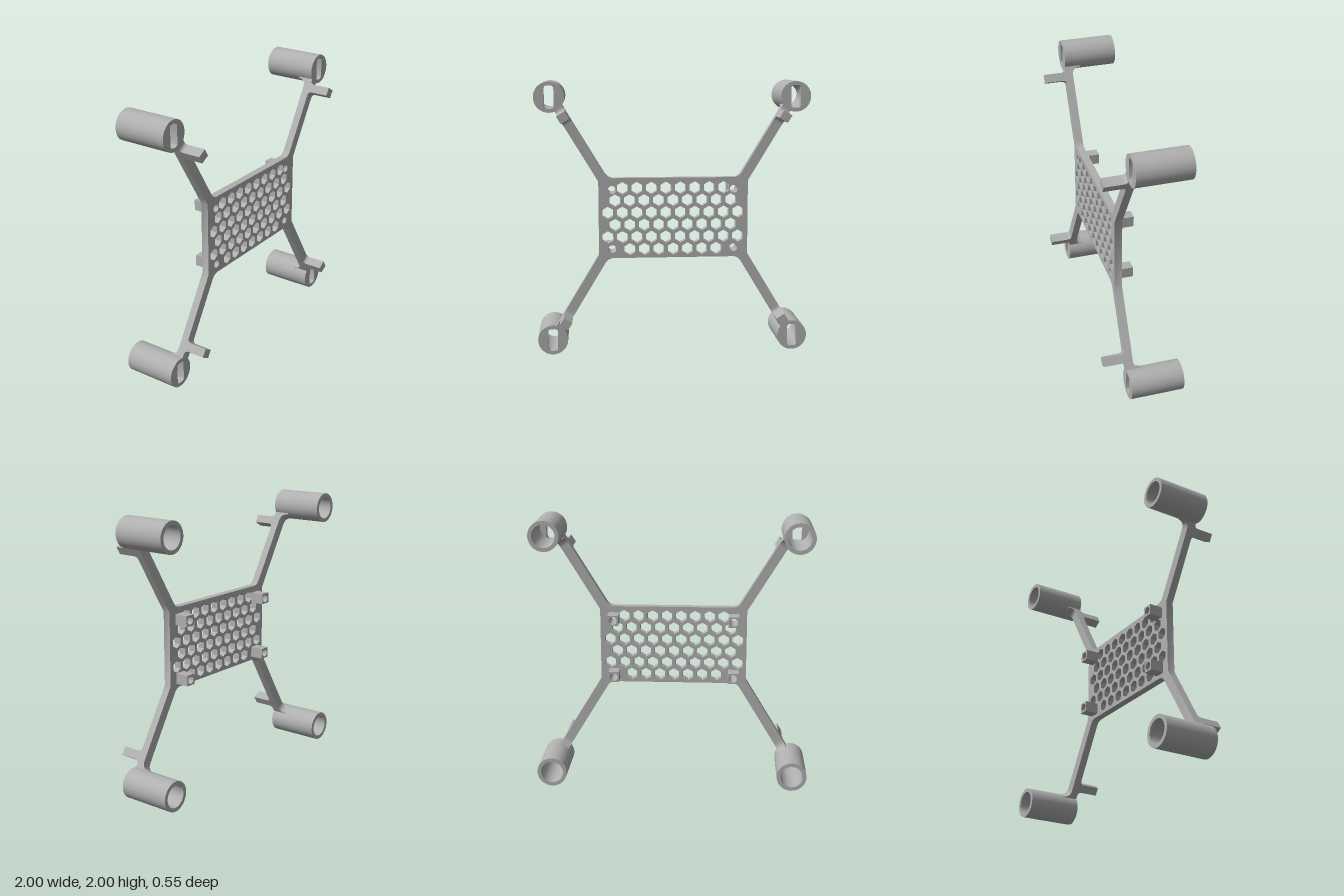
import * as THREE from 'three';
import { toCreasedNormals } from 'three/addons/utils/BufferGeometryUtils.js';

const BACK = 0.062, FRONT = 0.117;   // z range of the flat frame
const MID = 1.013;                   // height of the plate's centre
const ANGLE = Math.atan2(0.856, 0.517);
const ARM_W = 0.07;

const poly = (Type, pts) => new Type(pts.map(([x, y]) => new THREE.Vector2(x, y)));

function circle(Type, x, y, r) {
  const p = new Type();
  p.absarc(x, y, r, 0, Math.PI * 2, false);
  return p;
}

// Extrudes a shape between two z values, smooth on curves and sharp on edges
function slab(shape, z0, z1, curveSegments = 24) {
  const g = new THREE.ExtrudeGeometry(shape, { depth: z1 - z0, bevelEnabled: false, curveSegments });
  g.translate(0, 0, z0);
  return toCreasedNormals(g, 0.6);
}

// Centre plate outline with arm stubs at its corners, and honeycomb holes
function plateShape() {
  const s = new THREE.Shape();
  const w = 0.545, h = 0.294;
  const at = (x, y) => [x, MID + y];
  // one side from the right edge to the middle of the top, mirrored below
  s.moveTo(...at(w, -0.27));
  s.lineTo(...at(w, 0.27));
  s.lineTo(...at(0.582, 0.332));
  s.lineTo(...at(0.522, 0.368));
  s.lineTo(...at(0.504, 0.338));
  s.quadraticCurveTo(...at(0.48, h), ...at(0.437, h));
  s.lineTo(...at(-0.437, h));
  s.quadraticCurveTo(...at(-0.48, h), ...at(-0.504, 0.338));
  s.lineTo(...at(-0.522, 0.368));
  s.lineTo(...at(-0.582, 0.332));
  s.lineTo(...at(-w, 0.27));
  s.lineTo(...at(-w, -0.27));
  s.lineTo(...at(-0.582, -0.332));
  s.lineTo(...at(-0.522, -0.368));
  s.lineTo(...at(-0.504, -0.338));
  s.quadraticCurveTo(...at(-0.48, -h), ...at(-0.437, -h));
  s.lineTo(...at(0.437, -h));
  s.quadraticCurveTo(...at(0.48, -h), ...at(0.504, -0.338));
  s.lineTo(...at(0.522, -0.368));
  s.lineTo(...at(0.582, -0.332));
  s.closePath();

  // rows of [first x, number of cells], top to bottom
  const rows = [[-0.373, 8], [-0.426, 9], [-0.479, 10], [-0.426, 9], [-0.479, 10], [-0.32, 7]];
  rows[5] = [-0.32, 7];
  rows.forEach(([x0, n], r) => {
    for (let i = 0; i < n; i++) {
      const cx = x0 + i * 0.1057, cy = 1.233 - r * 0.09;
      const pts = [];
      for (let k = 0; k < 6; k++) {
        const a = Math.PI / 6 + k * Math.PI / 3;
        pts.push([cx + 0.0455 * Math.cos(a), cy + 0.0455 * Math.sin(a)]);
      }
      s.holes.push(poly(THREE.Path, pts));
    }
  });
  for (const x of [-0.448, 0.442]) for (const y of [1.221, 0.786]) {
    s.holes.push(circle(THREE.Path, x, y, 0.029));
  }
  return s;
}

// Arm side profile (length, z) with an upright peg and fillets, extruded across its width
function armGeometry(end) {
  const p0 = 0.547, p1 = 0.609, top = 0.275, f = 0.032;
  const s = new THREE.Shape();
  s.moveTo(0.118, BACK);
  s.lineTo(end - 0.072, BACK);
  s.quadraticCurveTo(end - 0.012, BACK, end - 0.012, 0.002);
  s.lineTo(end, 0.002);
  s.lineTo(end, FRONT);
  s.lineTo(p1 + f, FRONT);
  s.quadraticCurveTo(p1, FRONT, p1, FRONT + f);
  s.lineTo(p1, top);
  s.lineTo(p0, top);
  s.lineTo(p0, FRONT + f);
  s.quadraticCurveTo(p0, FRONT, p0 - f, FRONT);
  s.lineTo(0.118, FRONT);
  s.closePath();
  const g = slab(s, -ARM_W / 2, ARM_W / 2, 8);
  g.rotateX(Math.PI / 2);
  return g;
}

// Front cap of a motor holder, with a rounded slot
function capShape() {
  const s = circle(THREE.Shape, 0, 0, 0.11);
  const w = 0.035, h = 0.082, r = 0.02;
  const p = new THREE.Path();
  p.absarc(w - r, h - r, r, 0, Math.PI / 2);
  p.absarc(-w + r, h - r, r, Math.PI / 2, Math.PI);
  p.absarc(-w + r, -h + r, r, Math.PI, Math.PI * 1.5);
  p.absarc(w - r, -h + r, r, Math.PI * 1.5, Math.PI * 2);
  p.closePath();
  s.holes.push(p);
  return s;
}

export function createModel() {
  const model = new THREE.Group();
  model.name = 'quadFrame';
  const grey = new THREE.MeshStandardMaterial({ color: 0xb0b0b0 });
  grey.name = 'grey plastic';
  const add = (parent, name, geometry, x = 0, y = 0, z = 0) => {
    const m = new THREE.Mesh(geometry, grey);
    m.name = name;
    m.position.set(x, y, z);
    parent.add(m);
    return m;
  };

  add(model, 'honeycombPlate', slab(plateShape(), BACK, FRONT));

  // square standoffs with round bores on the back of the plate
  const e = 0.039;
  const post = poly(THREE.Shape, [[-e, -e], [e, -e], [e, e], [-e, e]]);
  post.holes.push(circle(THREE.Path, 0, 0, 0.029));
  const postGeo = slab(post, -0.04, BACK);
  for (const x of [-0.448, 0.442]) for (const y of [1.221, 0.786]) add(model, 'standoff', postGeo, x, y);

  // motor holders: open tube at the back, slotted cap in front
  const ring = circle(THREE.Shape, 0, 0, 0.11);
  ring.holes.push(circle(THREE.Path, 0, 0, 0.082));
  const tubeGeo = slab(ring, -0.275, BACK);
  const capGeo = slab(capShape(), BACK, FRONT);

  for (const sy of [1, -1]) {
    const armGeo = armGeometry(sy > 0 ? 0.65 : 0.672);
    for (const sx of [1, -1]) {
      const arm = add(model, 'arm', armGeo, sx * 0.49, MID + sy * 0.247);
      arm.rotation.z = Math.atan2(sy * Math.sin(ANGLE), sx * Math.cos(ANGLE));

      const holder = new THREE.Group();
      holder.name = 'motorHolder';
      holder.position.set(sx * 0.89, 1 + sy * 0.89, 0);
      add(holder, 'holderTube', tubeGeo);
      add(holder, 'holderCap', capGeo);
      model.add(holder);
    }
  }
  return model;
}
